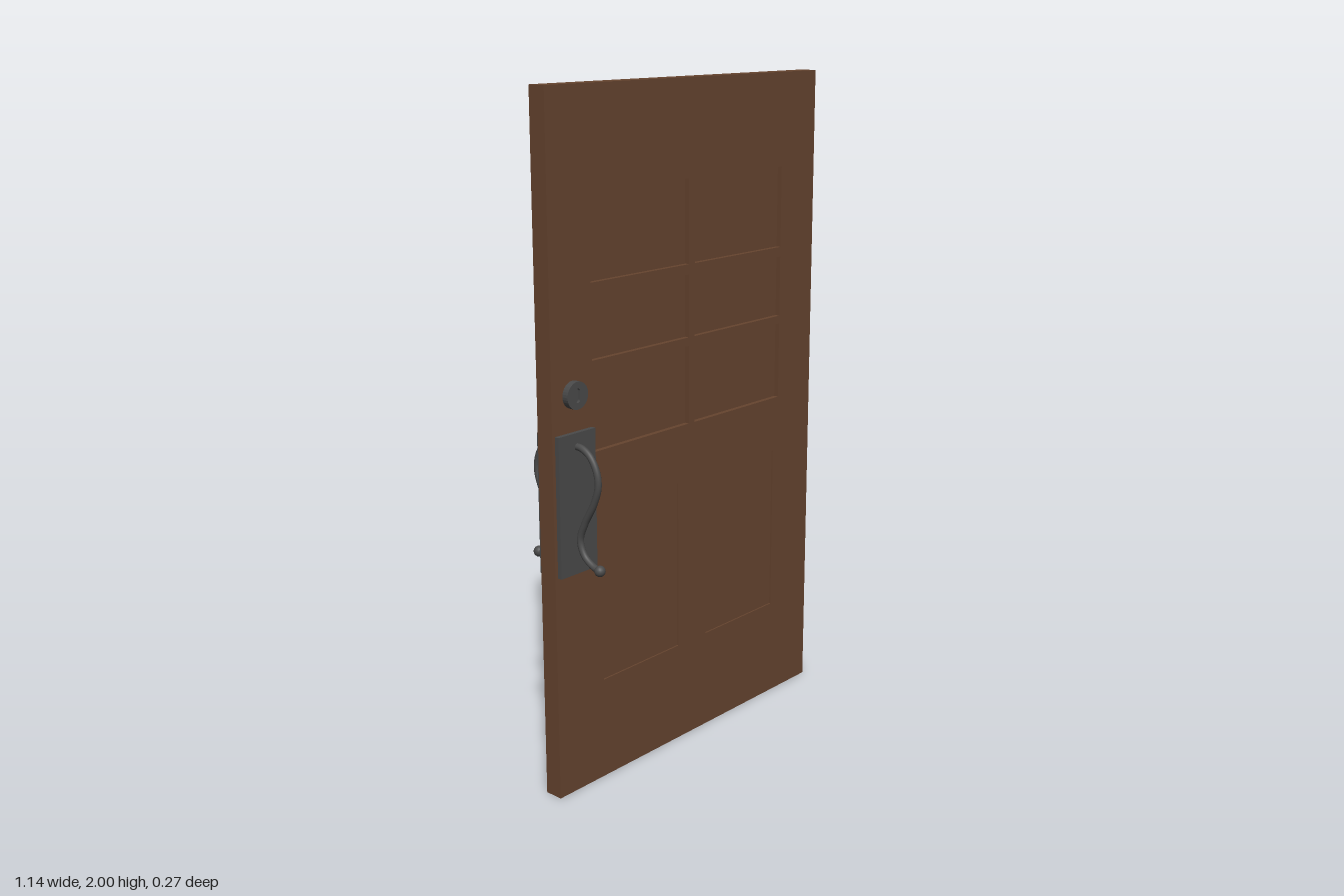
import * as THREE from 'three';

const WOOD = new THREE.MeshStandardMaterial({ color: 0x66442f });
WOOD.name = 'brownWood';
const METAL = new THREE.MeshStandardMaterial({ color: 0x4a4a4a });
METAL.name = 'darkIron';

const BACK = -0.026, FRONT = 0.03, MID = (BACK + FRONT) / 2, HALF = (FRONT - BACK) / 2;
const HANDLE_X = -0.49;

function add(parent, name, geometry, material, x = 0, y = 0, z = 0) {
  const mesh = new THREE.Mesh(geometry, material);
  mesh.name = name;
  mesh.position.set(x, y, z);
  parent.add(mesh);
  return mesh;
}

function rectPath(path, x0, x1, y0, y1) {
  path.moveTo(x0, y0);
  path.lineTo(x1, y0);
  path.lineTo(x1, y1);
  path.lineTo(x0, y1);
  path.closePath();
  return path;
}

// Door slab with openings; each opening is closed by a thinner panel
function buildDoor(group) {
  const openings = [];
  for (const [x0, x1] of [[-0.415, -0.015], [0.01, 0.41]])
    for (const [y0, y1] of [[1.0, 1.235], [1.26, 1.445], [1.475, 1.72]])
      openings.push({ name: 'upperPanel', x0, x1, y0, y1, recess: 0.015 });
  for (const [x0, x1] of [[-0.388, -0.063], [0.063, 0.388]])
    openings.push({ name: 'lowerPanel', x0, x1, y0: 0.307, y1: 0.827, recess: 0.005 });

  const slab = rectPath(new THREE.Shape(), -0.57, 0.57, 0, 2);
  for (const o of openings) slab.holes.push(rectPath(new THREE.Path(), o.x0, o.x1, o.y0, o.y1));
  const slabGeo = new THREE.ExtrudeGeometry(slab, { depth: 2 * HALF, bevelEnabled: false });
  add(group, 'doorFrame', slabGeo, WOOD, 0, 0, BACK);

  for (const o of openings) {
    const geo = new THREE.BoxGeometry(o.x1 - o.x0, o.y1 - o.y0, 2 * (HALF - o.recess));
    add(group, o.name, geo, WOOD, (o.x0 + o.x1) / 2, (o.y0 + o.y1) / 2, MID);
  }
}

// Lock and pull handle for one face, built outward along +z from the slab's middle
function buildHardware(name) {
  const side = new THREE.Group();
  side.name = name;

  // Backing plate
  add(side, 'handlePlate', new THREE.BoxGeometry(0.14, 0.405, 0.016), METAL, HANDLE_X, 0.8725, HALF + 0.006);

  // Lock ring with a slot-shaped keyway
  const ring = new THREE.Shape().absarc(0, 0, 0.039, 0, Math.PI * 2, false);
  const slot = new THREE.Path();
  slot.absarc(0, 0.012, 0.008, 0, Math.PI, false);
  slot.absarc(0, -0.012, 0.008, Math.PI, Math.PI * 2, false);
  slot.closePath();
  ring.holes.push(slot);
  const ringGeo = new THREE.ExtrudeGeometry(ring, { depth: 0.02, bevelEnabled: false, curveSegments: 16 });
  add(side, 'lockRing', ringGeo, METAL, HANDLE_X, 1.18, HALF);
  add(side, 'keyway', new THREE.BoxGeometry(0.02, 0.045, 0.012), METAL, HANDLE_X, 1.18, HALF + 0.006);

  // Curved pull, listed as [height, distance from middle]
  const points = [
    [1.036, 0.03], [1.034, 0.06], [1.015, 0.092], [0.975, 0.115], [0.935, 0.119],
    [0.88, 0.1], [0.82, 0.066], [0.768, 0.047], [0.726, 0.062], [0.703, 0.093], [0.695, 0.12],
  ].map(([y, z]) => new THREE.Vector3(0, y, z));
  const curve = new THREE.CatmullRomCurve3(points);
  add(side, 'pullHandle', new THREE.TubeGeometry(curve, 60, 0.01, 12), METAL, HANDLE_X);
  add(side, 'handleTip', new THREE.SphereGeometry(0.016, 16, 12), METAL, HANDLE_X, 0.695, 0.121);
  add(side, 'handleMount', new THREE.SphereGeometry(0.01, 12, 8), METAL, HANDLE_X, 1.036, 0.03);
  return side;
}

export function createModel() {
  const group = new THREE.Group();
  group.name = 'door';
  buildDoor(group);

  const front = buildHardware('frontHardware');
  front.position.z = MID;
  group.add(front);

  // Same fittings turned to the back face, at the same edge of the door
  const back = buildHardware('backHardware');
  back.rotation.y = Math.PI;
  back.position.set(2 * HANDLE_X, 0, MID);
  group.add(back);
  return group;
}
